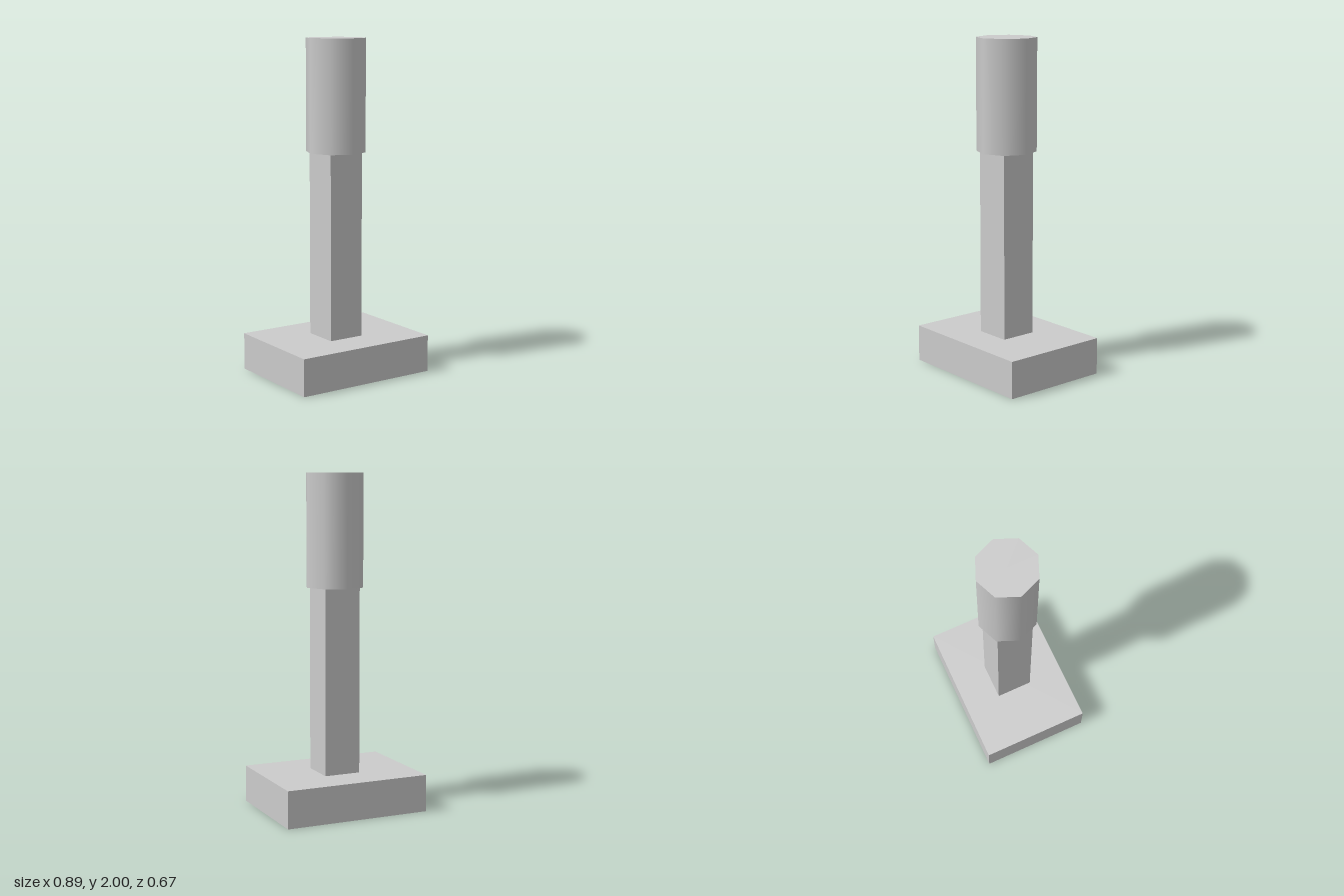
import * as THREE from 'three';

export function createModel() {
  const group = new THREE.Group();
  const material = new THREE.MeshStandardMaterial({ color: 0xcccccc });

  // Adds a part with its underside at the given height
  const addPart = (name, geometry, bottom) => {
    const mesh = new THREE.Mesh(geometry, material);
    mesh.name = name;
    mesh.position.y = bottom + geometry.parameters.height / 2;
    group.add(mesh);
  };

  // Rectangular foot slab
  addPart('base', new THREE.BoxGeometry(0.889, 0.222, 0.667), 0);

  // Square upright
  addPart('post', new THREE.BoxGeometry(0.222, 1.111, 0.222), 0.222);

  // Eight-sided head with smooth-shaded sides
  addPart('head', new THREE.CylinderGeometry(0.178, 0.178, 0.667, 8), 1.333);

  return group;
}
